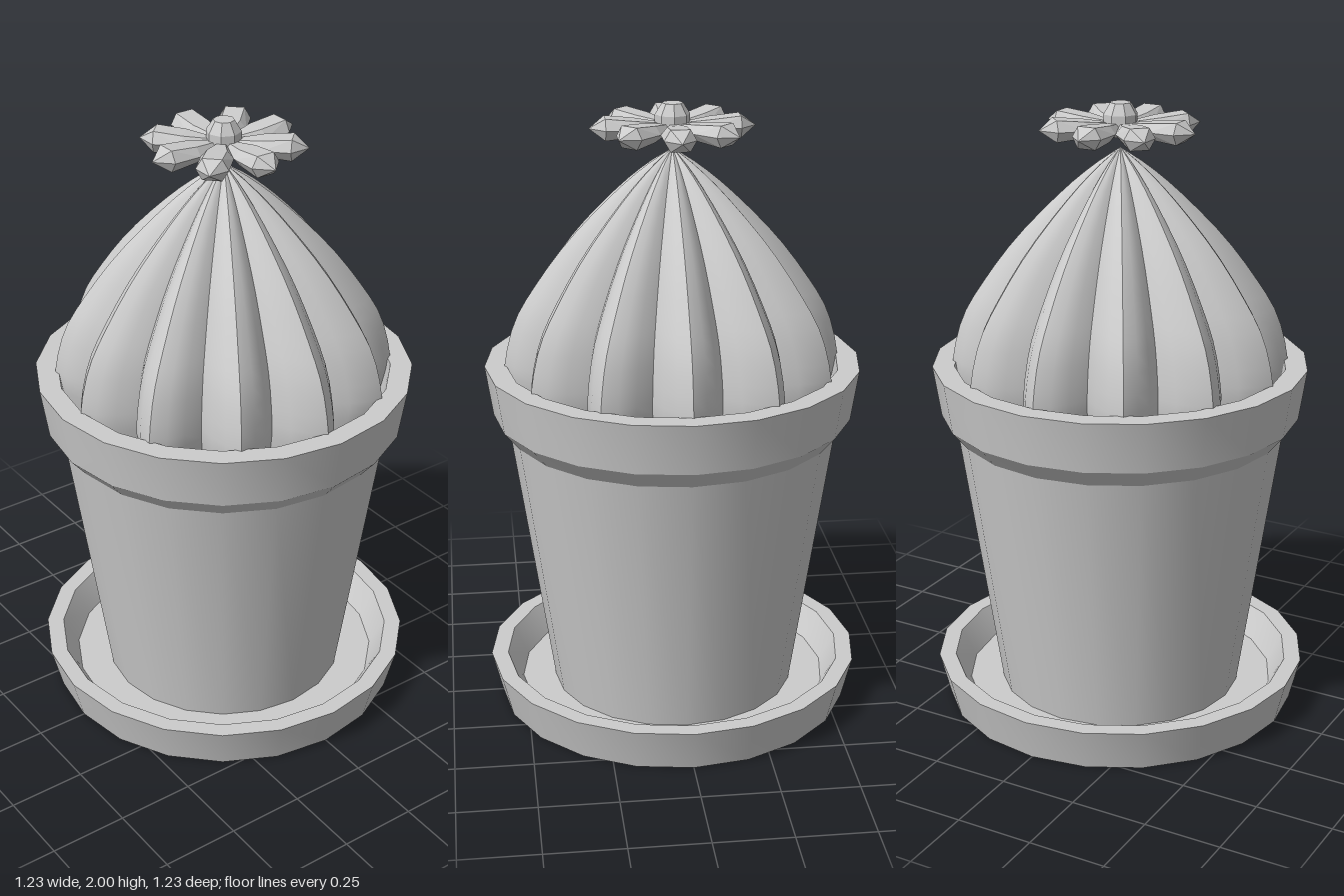
import * as THREE from 'three';
import { toCreasedNormals } from 'three/addons/utils/BufferGeometryUtils.js';
import { ConvexGeometry } from 'three/addons/geometries/ConvexGeometry.js';

const RIBS = 12, PETALS = 8, SIDES = 20;

const profile = (pts) => pts.map(([r, y]) => new THREE.Vector2(r, y));

// Turned part: smooth around, sharp at the profile corners
function turned(pts, sides) {
  return toCreasedNormals(new THREE.LatheGeometry(profile(pts), sides), 0.5);
}

// Dome whose radius dips from each sharp ridge to the valley beside it
function ribbedDome() {
  const curve = new THREE.SplineCurve(profile([
    [0.50, 1.0], [0.53, 1.09], [0.54, 1.17], [0.505, 1.31], [0.435, 1.43],
    [0.33, 1.57], [0.195, 1.71], [0.09, 1.80], [0, 1.86],
  ]));
  const pts = curve.getPoints(20);
  pts[20].x = 0;
  const geo = new THREE.LatheGeometry(pts, RIBS * 6);
  const pos = geo.attributes.position;
  for (let i = 0; i < pos.count; i++) {
    const x = pos.getX(i), z = pos.getZ(i);
    const a = Math.atan2(x, z) * RIBS / (2 * Math.PI);
    const t = Math.abs(a - Math.round(a)) * 2; // 0 at ridge, 1 at valley
    const k = 1 - 0.23 * Math.pow(t, 1.4);
    pos.setX(i, x * k);
    pos.setZ(i, z * k);
  }
  return toCreasedNormals(geo, 0.5);
}

// Faceted petal along +z, from sections of [z, half width, half height]
function petalGeometry() {
  const pts = [new THREE.Vector3(0, 0, 0.26)];
  for (const [z, w, h] of [[0.02, 0.01, 0.012], [0.12, 0.05, 0.025], [0.21, 0.05, 0.034]]) {
    for (const s of [-1, 1]) {
      pts.push(new THREE.Vector3(s * w, 0, z));
      for (const v of [-1, 1]) pts.push(new THREE.Vector3(s * w * 0.6, v * h, z));
    }
  }
  return new ConvexGeometry(pts);
}

export function createModel() {
  const group = new THREE.Group();
  const smooth = new THREE.MeshStandardMaterial({ color: 0xcccccc });
  const faceted = new THREE.MeshStandardMaterial({ color: 0xcccccc, flatShading: true });
  const add = (name, geo, mat = smooth, parent = group) => {
    const mesh = new THREE.Mesh(geo, mat);
    mesh.name = name;
    parent.add(mesh);
    return mesh;
  };

  add('saucer', turned([
    [0, 0], [0.58, 0], [0.615, 0.14], [0.56, 0.14], [0.51, 0.05], [0, 0.05],
  ], SIDES));

  add('pot', turned([
    [0, 0.05], [0.40, 0.05], [0.53, 0.94], [0.58, 1.0], [0.605, 1.165],
    [0.535, 1.165], [0.505, 1.0],
  ], SIDES));

  add('soil', turned([[0.51, 1.02], [0, 1.02]], SIDES));

  add('cactus', ribbedDome());

  // Flower hovering just over the tip
  const flower = new THREE.Group();
  flower.name = 'flower';
  flower.position.y = 1.925;
  group.add(flower);
  const petal = petalGeometry();
  for (let i = 0; i < PETALS; i++) {
    add('petal', petal, faceted, flower).rotation.y = i * 2 * Math.PI / PETALS;
  }
  add('flowerCentre', new THREE.LatheGeometry(profile([
    [0, -0.03], [0.035, -0.03], [0.055, 0], [0.055, 0.04], [0.033, 0.075], [0, 0.075],
  ]), 8), faceted, flower);

  return group;
}
